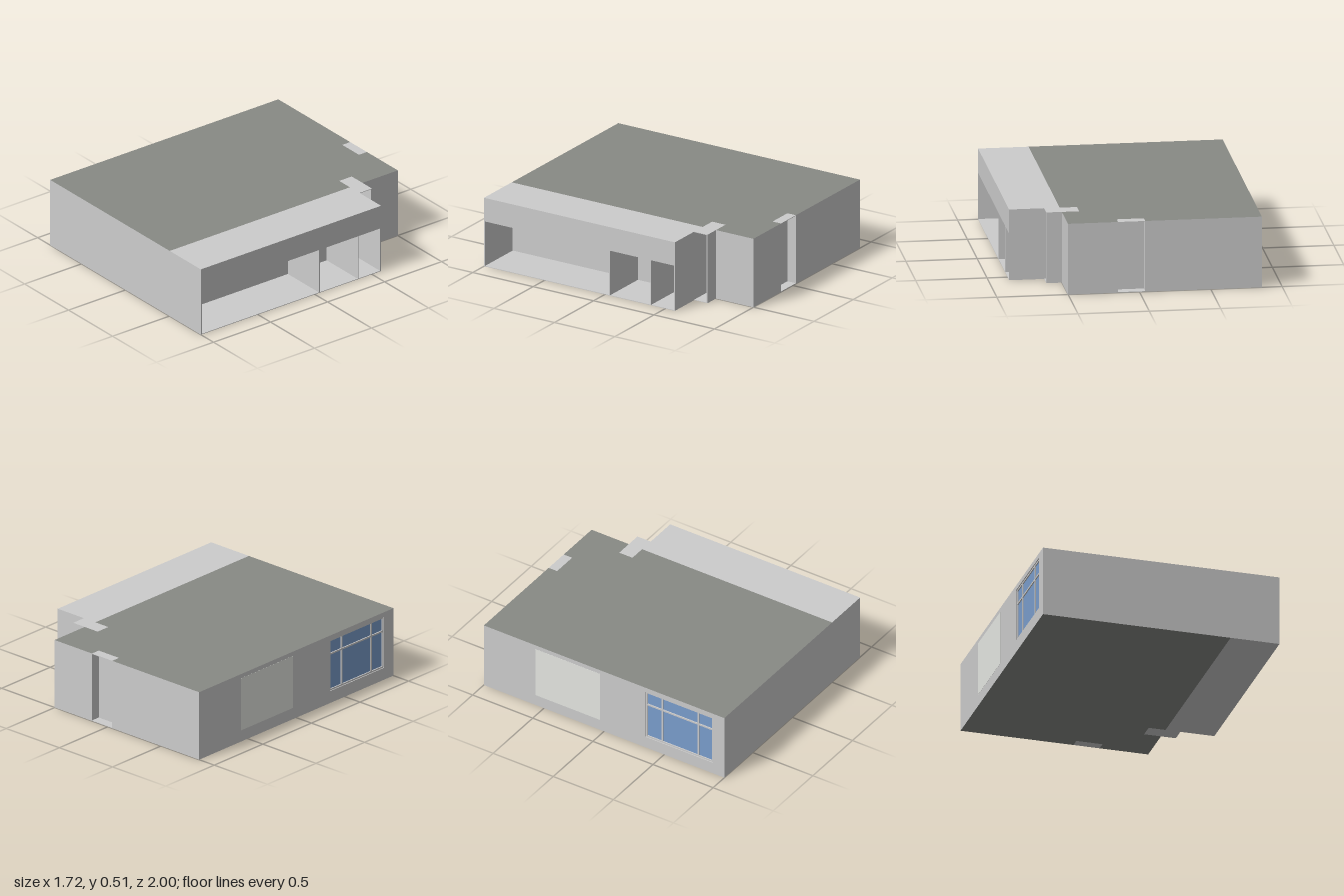
import * as THREE from 'three';

const H = 0.51, L = -0.858, M = 0.502, R = 0.856, SKIN = 0.004;

export function createModel() {
  const g = new THREE.Group();
  g.name = 'building';
  const mat = (name, color) => Object.assign(new THREE.MeshStandardMaterial({ color }), { name });
  const wall = mat('light grey wall', 0xcccccc);
  const roof = mat('dark grey roof', 0x888a85);
  const glass = mat('blue glass', 0x7a9dcc);
  const pale = mat('pale panel', 0xe6e8e3);

  const add = (name, geo, m) => {
    const mesh = new THREE.Mesh(geo, m);
    mesh.name = name;
    g.add(mesh);
    return mesh;
  };
  // Box given by its lower and upper limits
  const box = (name, m, x0, x1, y0, y1, z0, z1) => {
    const geo = new THREE.BoxGeometry(x1 - x0, y1 - y0, z1 - z0);
    return add(name, geo.translate((x0 + x1) / 2, (y0 + y1) / 2, (z0 + z1) / 2), m);
  };
  // Main hall plan, with niches cut out for the rear and side doors
  const plan = (x0) => new THREE.Shape([
    [x0, -1], [M, -1], [M, 0.58], [0.38, 0.58], [0.38, 0.69], [M, 0.69], [M, 1],
    [0.15, 1], [0.15, 0.93], [-0.04, 0.93], [-0.04, 1], [x0, 1],
  ].map(([x, y]) => new THREE.Vector2(x, y)));
  const slab = (name, x0, y0, y1, m) => {
    const geo = new THREE.ExtrudeGeometry(plan(x0), { depth: y1 - y0, bevelEnabled: false });
    return add(name, geo.rotateX(-Math.PI / 2).translate(0, y0, 0), m);
  };

  // Main hall
  slab('hallCore', L + 0.02, SKIN, H - SKIN, wall);
  slab('hallRoof', L, H - SKIN, H, [roof, wall]);
  slab('hallFloor', L, 0, SKIN, [roof, wall]);

  // Left wall with a window opening
  const side = new THREE.Shape([
    [-1, SKIN], [1, SKIN], [1, H - SKIN], [-1, H - SKIN],
  ].map(([z, y]) => new THREE.Vector2(z, y)));
  const W = { z0: 0.345, z1: 0.905, y0: 0.09, y1: 0.475 };
  side.holes.push(new THREE.Path([
    [W.z0, W.y0], [W.z0, W.y1], [W.z1, W.y1], [W.z1, W.y0],
  ].map(([z, y]) => new THREE.Vector2(z, y))));
  const sideGeo = new THREE.ExtrudeGeometry(side, { depth: 0.02, bevelEnabled: false });
  add('leftWall', sideGeo.rotateY(-Math.PI / 2).translate(L + 0.02, 0, 0), wall);

  // Window panes and frame bars
  box('windowGlass', glass, L + 0.014, L + 0.02, W.y0, W.y1, W.z0, W.z1);
  const b = 0.012;
  for (const z of [W.z0, 0.472, 0.772, W.z1 - b])
    box('windowUpright', wall, L + 0.006, L + 0.016, W.y0, W.y1, z, z + b);
  for (const y of [W.y0, 0.36, W.y1 - b])
    box('windowRail', wall, L + 0.006, L + 0.016, y, y + b, W.z0, W.z1);

  // Flush pale panel
  box('sidePanel', pale, L - 0.001, L + 0.004, 0.085, 0.478, -0.57, -0.035);

  // Floor and ceiling of both door niches
  for (const [y0, y1] of [[0, SKIN], [H - SKIN, H]]) {
    box('rearNicheCap', wall, -0.04, 0.15, y0, y1, -1, -0.93);
    box('sideNicheCap', wall, 0.38, 0.61, y0, y1, -0.69, -0.58);
  }
  // Side niche rear wall beyond the hall
  box('sideNicheWall', wall, M, 0.61, SKIN, H - SKIN, -0.69, -0.682);

  // Open side bay: floor, solid canopy, end walls and partitions
  box('bayFloor', wall, M, R, 0, SKIN, -0.58, 1);
  box('bayCanopy', wall, M, R, 0.335, H, -0.58, 1);
  for (const z of [0.992, -0.044, -0.384, -0.58])
    box('bayPartition', wall, M, R, SKIN, 0.335, z, z + 0.008);

  return g;
}
